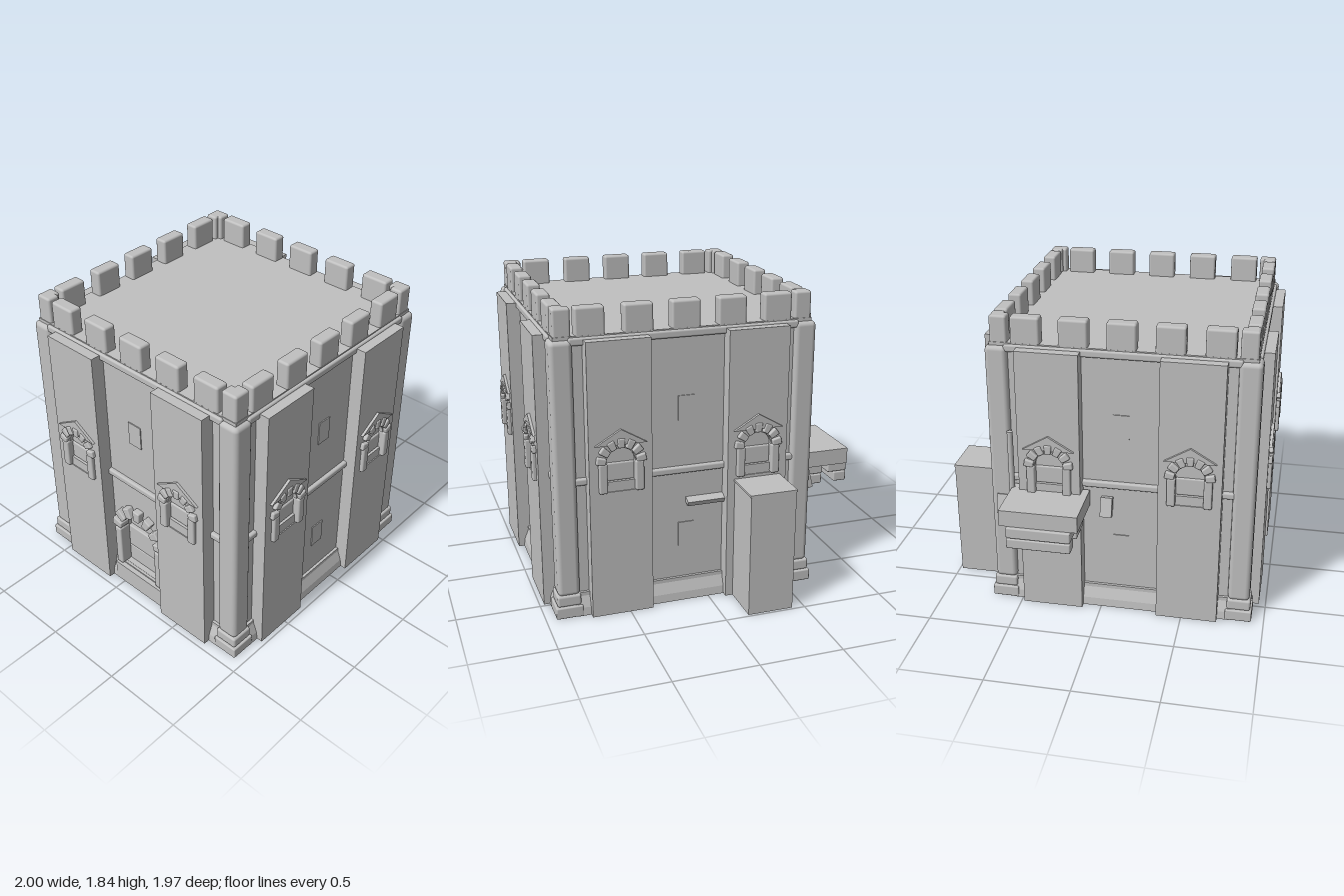
import * as THREE from 'three';
import { RoundedBoxGeometry } from 'three/addons/geometries/RoundedBoxGeometry.js';

const stone = new THREE.MeshStandardMaterial({ color: 0xc0c0c0 });
stone.name = 'stone';

// Tower centre on the ground and the key distances from that centre
const CX = 0.131, CZ = 0.117;
const CORE = 0.7, WALL = 0.758, PILASTER = 0.842, TRIM = 0.865, TOP = 1.663;

function add(parent, geometry, name, x = 0, y = 0, z = 0) {
  const mesh = new THREE.Mesh(geometry, stone);
  mesh.name = name;
  mesh.position.set(x, y, z);
  parent.add(mesh);
  return mesh;
}

// Box given by its minimum and maximum corners, optionally with rounded edges
function block(parent, name, a, b, radius = 0) {
  const s = b.map((v, i) => v - a[i]);
  const c = b.map((v, i) => (v + a[i]) / 2);
  const geo = radius ? new RoundedBoxGeometry(...s, 2, radius) : new THREE.BoxGeometry(...s);
  return add(parent, geo, name, ...c);
}

// Outline of a round-headed opening
function archPath(Type, cx, y0, springY, half) {
  const p = new Type();
  p.moveTo(cx - half, y0);
  p.lineTo(cx + half, y0);
  p.lineTo(cx + half, springY);
  p.absarc(cx, springY, half, 0, Math.PI, false);
  p.lineTo(cx - half, y0);
  return p;
}

// Upright slab between two depths, with optional arched holes
function slab(parent, name, x0, x1, z0, z1, holes = []) {
  const s = new THREE.Shape();
  s.moveTo(x0, 0);
  s.lineTo(x1, 0);
  s.lineTo(x1, TOP);
  s.lineTo(x0, TOP);
  s.closePath();
  s.holes.push(...holes);
  const geo = new THREE.ExtrudeGeometry(s, { depth: z1 - z0, bevelEnabled: false, curveSegments: 14 });
  return add(parent, geo, name, 0, 0, z0);
}

// Ring of wedge-shaped arch stones around (cx, cy)
function archStones(parent, cx, cy, inner, outer, width, z0, z1) {
  const count = 7, mid = (inner + outer) / 2, len = outer - inner;
  for (let i = 0; i < count; i++) {
    const a = THREE.MathUtils.degToRad(10 + (160 * i) / (count - 1)) - Math.PI / 2;
    const geo = new RoundedBoxGeometry(width, len, z1 - z0, 2, 0.008);
    const p = geo.attributes.position;
    for (let k = 0; k < p.count; k++) p.setX(k, p.getX(k) * (1 + (0.3 * p.getY(k)) / len));
    const m = add(parent, geo, 'archStone', cx - Math.sin(a) * mid, cy + Math.cos(a) * mid, (z0 + z1) / 2);
    m.rotation.z = a;
  }
}

function archedWindow(parent, cx) {
  const g = new THREE.Group();
  g.name = 'archedWindow';
  g.position.x = cx;
  parent.add(g);
  for (const s of [-1, 1]) {
    const x = s * 0.107;
    block(g, 'windowJamb', [x - 0.025, 0.78, 0.8], [x + 0.025, 0.96, TRIM], 0.01);
  }
  archStones(g, 0, 0.955, 0.09, 0.147, 0.041, 0.8, TRIM);
  // Gable above the arch
  const tri = new THREE.Shape([[-0.152, 1.065], [0.152, 1.065], [0, 1.155]].map(p => new THREE.Vector2(...p)));
  add(g, new THREE.ExtrudeGeometry(tri, { depth: 0.028, bevelEnabled: false }), 'windowGable', 0, 0, 0.83);
  // Shutter and parapet inside the opening
  block(g, 'windowShutter', [-0.085, 0.84, 0.79], [0.085, 0.95, 0.825], 0.01);
  block(g, 'windowParapet', [-0.085, 0.78, 0.79], [0.085, 0.84, 0.836]);
}

function door(parent) {
  const g = new THREE.Group();
  g.name = 'door';
  parent.add(g);
  for (const s of [-1, 1]) {
    const x = s * 0.17;
    block(g, 'doorJamb', [x - 0.026, 0.14, 0.72], [x + 0.026, 0.43, 0.8], 0.01);
  }
  archStones(g, 0, 0.435, 0.14, 0.215, 0.052, 0.73, 0.8);
  block(g, 'doorLeafLower', [-0.15, 0.14, 0.69], [0.15, 0.26, 0.725], 0.008);
  block(g, 'doorLeafUpper', [-0.15, 0.26, 0.69], [0.15, 0.42, 0.725], 0.008);
  block(g, 'doorStep', [-0.2, 0, 0.72], [0.2, 0.13, 0.806]);
}

// Sloping plinth along the foot of a wall
function plinth(parent) {
  const pts = [[0.72, 0], [0.806, 0], [0.8, 0.05], [0.775, 0.115], [0.775, 0.138], [0.72, 0.138]];
  const s = new THREE.Shape(pts.map(p => new THREE.Vector2(...p)));
  const geo = new THREE.ExtrudeGeometry(s, { depth: 1.36, bevelEnabled: false });
  geo.rotateY(-Math.PI / 2);
  add(parent, geo, 'plinth', 0.68, 0, 0);
}

// One complete side of the tower, facing local +z
function buildSide(tower, k) {
  const g = new THREE.Group();
  g.name = ['frontSide', 'leftSide', 'backSide', 'rightSide'][k];
  g.rotation.y = (k * Math.PI) / 2;
  tower.add(g);
  const front = k === 0;

  slab(g, 'wall', -0.75, 0.75, 0.68, WALL, front ? [archPath(THREE.Path, 0, 0.14, 0.43, 0.15)] : []);
  plinth(g);
  block(g, 'stringCourse', [-0.68, 0.813, 0.73], [0.68, 0.855, 0.782], 0.012);
  block(g, 'cornice', [-0.68, 1.63, 0.73], [0.68, 1.675, 0.782], 0.012);

  for (const s of [-1, 1]) {
    const cx = s * 0.415;
    const hole = archPath(THREE.Path, cx, 0.78, 0.955, 0.085);
    slab(g, 'pilaster', cx - 0.185, cx + 0.185, 0.72, PILASTER, [hole]);
    block(g, 'windowBack', [cx - 0.1, 0.76, 0.78], [cx + 0.1, 1.05, 0.815]);
    archedWindow(g, cx);
  }

  // Small square lights in the middle bay
  block(g, 'upperLight', [-0.048, 1.135, 0.756], [0.048, 1.285, 0.764]);
  if (front) door(g);
  else block(g, 'lowerLight', [-0.048, 0.345, 0.756], [0.048, 0.495, 0.764]);

  // Battlements
  for (let i = -2; i <= 2; i++) {
    const x = i * 0.277;
    block(g, 'merlon', [x - 0.085, 1.67, 0.685], [x + 0.085, 1.838, 0.765], 0.014);
  }

  // Corner column with its stepped foot, and the corner merlon
  block(g, 'columnFoot', [0.647, 0, 0.647], [0.808, 0.07, 0.808], 0.008);
  block(g, 'columnBase', [0.655, 0.07, 0.655], [0.798, 0.14, 0.798], 0.014);
  block(g, 'cornerColumn', [0.658, 0.13, 0.658], [0.79, TOP, 0.79], 0.028);
  block(g, 'cornerMerlon', [0.66, 1.67, 0.685], [0.762, 1.838, 0.762], 0.014);
  block(g, 'cornerMerlon', [0.685, 1.67, 0.66], [0.762, 1.838, 0.762], 0.014);
}

export function createModel() {
  const model = new THREE.Group();
  model.name = 'tower';

  const tower = new THREE.Group();
  tower.name = 'towerBody';
  tower.position.set(CX, 0, CZ);
  model.add(tower);
  block(tower, 'core', [-CORE, 0, -CORE], [CORE, TOP, CORE]);
  block(tower, 'roof', [-0.765, 1.65, -0.765], [0.765, 1.682, 0.765]);
  for (let k = 0; k < 4; k++) buildSide(tower, k);

  // Tall bin against the back, with a thin lid
  block(model, 'backBin', [-0.425, 0, -0.985], [-0.145, 0.75, -0.7]);
  block(model, 'backBinLid', [-0.43, 0.748, -0.988], [-0.14, 0.762, -0.7]);

  // Sloping ledge on the back wall
  const ledge = block(model, 'backLedge', [-0.2, 0.62, -0.685], [0.131, 0.65, -0.61]);
  ledge.rotation.x = -0.4;

  // Stall on the right side: table top over stacked beams
  block(model, 'stallTop', [-0.98, 0.69, -0.533], [-0.64, 0.79, -0.07]);
  const beams = [[-1, -0.872, 0.622, 0.69], [-0.835, -0.66, 0.622, 0.69],
    [-1, -0.915, 0.556, 0.618], [-0.83, -0.66, 0.556, 0.618]];
  for (const [x0, x1, y0, y1] of beams) {
    block(model, 'stallBeam', [x0, y0, -0.49], [x1, y1, -0.11], 0.008);
  }

  // Rod and braces fixed to the right wall
  add(model, new THREE.CylinderGeometry(0.018, 0.018, 0.4, 10), 'wallRod', -0.68, 0.95, -0.535);
  const braces = [[-0.6, 0.66], [0.035, 0.7]];
  for (const [z, y] of braces) {
    const b = block(model, 'wallBrace', [-0.685, y - 0.06, z - 0.035], [-0.645, y + 0.06, z + 0.035]);
    b.rotation.z = -0.25;
  }
  return model;
}
